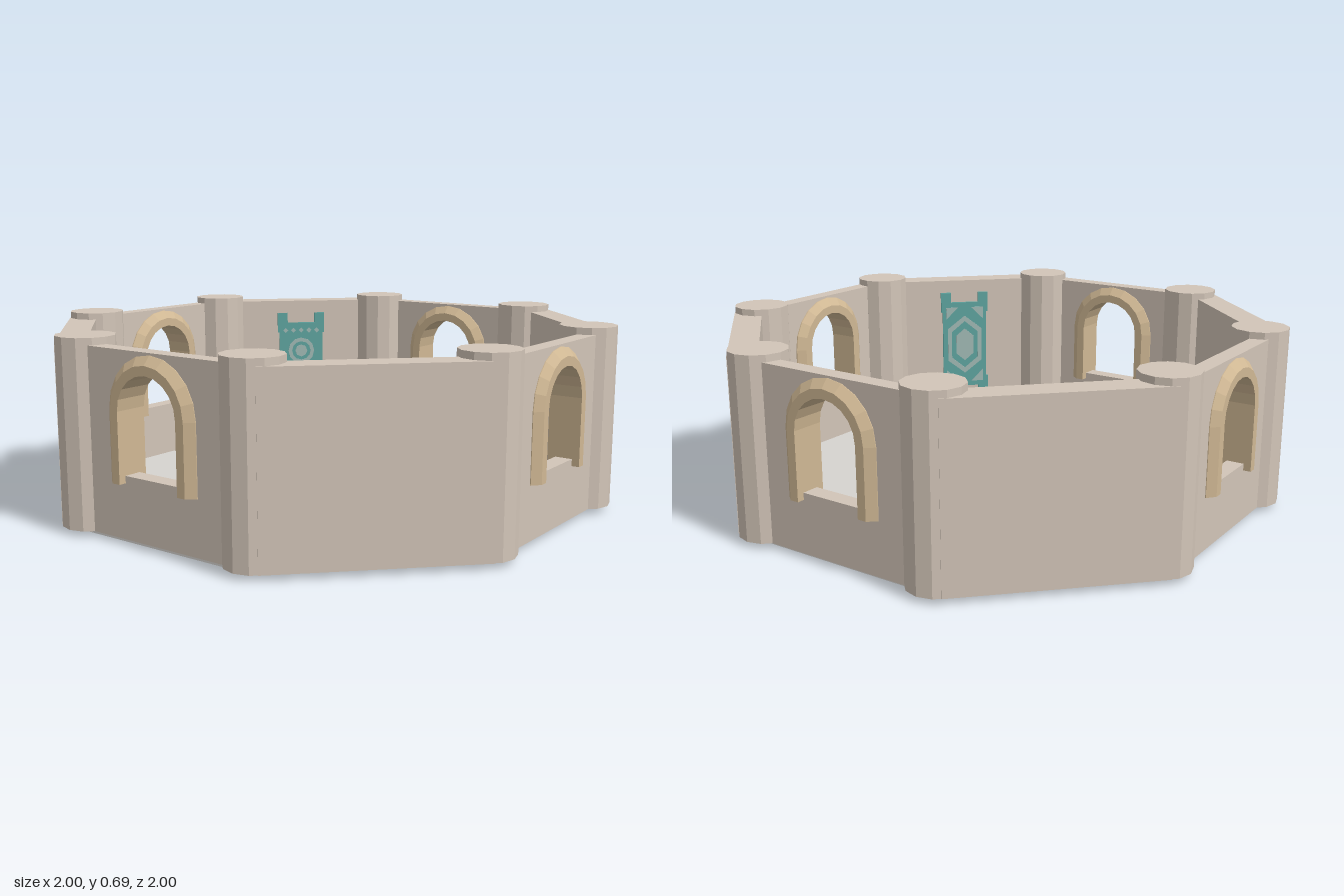
import * as THREE from 'three';

const mat = (color) => new THREE.MeshStandardMaterial({ color, flatShading: true });
const stone = mat(0xd2c5b8), trim = mat(0xd0b894), paving = mat(0xd6d4d0);
const cloth = mat(0x5fa5a0), motif = mat(0xa2bab6);

const CORNER = 0.968;   // distance of the pillars from the centre
const INNER = 0.8945;   // distance of the inner wall faces
const HALF = 0.37;      // half the length of one wall
const BASE = 0.02, WALL_TOP = 0.66;

function add(parent, name, geometry, material) {
  const mesh = new THREE.Mesh(geometry, material);
  mesh.name = name;
  parent.add(mesh);
  return mesh;
}

const toShape = (pts) => new THREE.Shape(pts.map(([x, y]) => new THREE.Vector2(x, y)));

// Flat plate cut from an outline, with optional holes
function plate(pts, depth, holes = []) {
  const shape = toShape(pts);
  shape.holes = holes.map(toShape);
  return new THREE.ExtrudeGeometry(shape, { depth, bevelEnabled: false });
}

// Outline of a round-topped opening
function archOutline(r, bottom, spring, steps = 10) {
  const pts = [[r, bottom]];
  for (let i = 0; i <= steps; i++) {
    const a = Math.PI * i / steps;
    pts.push([r * Math.cos(a), spring + r * Math.sin(a)]);
  }
  pts.push([-r, bottom]);
  return pts;
}

// Sweeps a convex section of [radius, z] points up one leg, over the arch and down
function archFrame(section, bottom, spring, steps = 10) {
  const pos = [], index = [], n = section.length, rings = steps + 3;
  for (let i = 0; i < rings; i++) {
    const a = Math.PI * Math.min(Math.max(i - 1, 0), steps) / steps;
    const y = i === 0 || i === rings - 1 ? bottom : spring;
    for (const [r, z] of section) pos.push(r * Math.cos(a), y + r * Math.sin(a), z);
  }
  for (let i = 0; i < rings - 1; i++) {
    for (let k = 0; k < n; k++) {
      const a = i * n + k, b = i * n + (k + 1) % n;
      index.push(a, a + n, b + n, a, b + n, b);
    }
  }
  const last = (rings - 1) * n;
  for (let k = 1; k < n - 1; k++) {
    index.push(0, k, k + 1, last, last + k + 1, last + k);
  }
  const g = new THREE.BufferGeometry();
  g.setAttribute('position', new THREE.Float32BufferAttribute(pos, 3));
  g.setIndex(index);
  g.computeVertexNormals();
  return g;
}

// Regular polygon points
function ngon(n, rx, ry, cy, turn = 0) {
  return Array.from({ length: n }, (_, i) => {
    const a = turn + 2 * Math.PI * i / n;
    return [rx * Math.cos(a), cy + ry * Math.sin(a)];
  });
}

// Hanging cloth; the pointed one has a tip, the other has lower tabs
function banner(pointed) {
  const g = new THREE.Group();
  g.name = pointed ? 'pointedBanner' : 'squareBanner';
  const top = 0.56, low = pointed ? 0.23 : 0.165;
  const body = [[-0.1, low], ...(pointed ? [[0, 0.115]] : []), [0.1, low], [0.1, top], [-0.1, top]];
  add(g, 'bannerCloth', plate(body, 0.012), cloth);
  for (const s of [-1, 1]) {
    for (const y of pointed ? [top] : [top, low]) {
      const tab = add(g, 'bannerTab', new THREE.BoxGeometry(0.045, 0.09, 0.015), cloth);
      tab.position.set(s * 0.085, y, 0.0075);
    }
  }
  const raise = (pts, holes) => {
    add(g, 'bannerMotif', plate(pts, 0.004, holes), motif).position.z = 0.012;
  };
  if (pointed) {
    // Ringed disc above a stack of chevrons
    raise(ngon(12, 0.06, 0.06, 0.43), [ngon(12, 0.043, 0.043, 0.43)]);
    raise(ngon(8, 0.028, 0.028, 0.43));
    for (let i = 0; i < 3; i++) {
      const y = 0.35 - i * 0.05, w = 0.075;
      raise([[-w, y], [0, y - 0.06], [w, y], [w, y - 0.022], [0, y - 0.082], [-w, y - 0.022]]);
    }
    for (let i = -2; i <= 2; i++) {
      raise(ngon(4, 0.012, 0.012, 0.525).map(([x, y]) => [x + i * 0.036, y]));
    }
  } else {
    // Nested hexagons with corner triangles
    const hex = (w, h) => [[0, h], [-w, h * 0.55], [-w, -h * 0.55], [0, -h], [w, -h * 0.55], [w, h * 0.55]]
      .map(([x, y]) => [x, y + 0.3625]);
    raise(hex(0.04, 0.075));
    raise(hex(0.078, 0.135), [hex(0.06, 0.11)]);
    for (const sx of [-1, 1]) {
      for (const sy of [-1, 1]) {
        raise([[0.085, 0.12], [0.085, 0.175], [0.03, 0.175]]
          .map(([x, y]) => [sx * x, 0.3625 + sy * y]));
      }
    }
  }
  return g;
}

export function createModel() {
  const model = new THREE.Group();
  model.name = 'octagonalRoom';

  // Floor slab
  const floorR = 0.93 / Math.cos(Math.PI / 8);
  const floor = add(model, 'floor', new THREE.CylinderGeometry(floorR, floorR, 0.024, 8), paving);
  floor.rotation.y = Math.PI / 8;
  floor.position.y = 0.012;

  // Corner pillars
  const pillarGeo = new THREE.CylinderGeometry(0.105, 0.105, 0.665, 12);
  for (let i = 0; i < 8; i++) {
    const a = Math.PI / 8 + i * Math.PI / 4;
    add(model, 'pillar', pillarGeo, stone)
      .position.set(CORNER * Math.sin(a), BASE + 0.3325, CORNER * Math.cos(a));
  }

  // Walls: thin ones with windows alternate with thick solid ones
  const outline = [[-HALF, BASE], [HALF, BASE], [HALF, WALL_TOP], [-HALF, WALL_TOP]];
  const windowWall = plate(outline, 0.063, [archOutline(0.15, 0.24, 0.46)]);
  const solidWall = plate(outline, 0.105);
  const windowFrame = archFrame(
    [[0.13, -0.06], [0.163, -0.06], [0.193, -0.035], [0.193, 0.035], [0.163, 0.06], [0.13, 0.06]],
    0.215, 0.46);
  const doorFrame = archFrame(
    [[0.15, -0.01], [0.21, -0.01], [0.21, 0.015], [0.19, 0.032], [0.15, 0.032]], BASE, 0.36);

  for (let i = 0; i < 8; i++) {
    const side = new THREE.Group();
    side.name = 'wallSide';
    side.rotation.y = i * Math.PI / 4;
    model.add(side);
    const open = i % 2 === 0;
    add(side, open ? 'windowWall' : 'solidWall', open ? windowWall : solidWall, stone).position.z = INNER;
    if (open) add(side, 'windowFrame', windowFrame, trim).position.z = 0.925;

    // Fittings on the inner faces of the solid walls
    let fitting = null;
    if (i === 1) fitting = banner(false);
    if (i === 5) fitting = banner(true);
    if (i === 3) {
      fitting = new THREE.Group();
      fitting.name = 'doorway';
      add(fitting, 'doorFrame', doorFrame, trim);
    }
    if (fitting) {
      fitting.rotation.y = Math.PI;
      fitting.position.z = INNER;
      side.add(fitting);
    }
  }
  return model;
}
